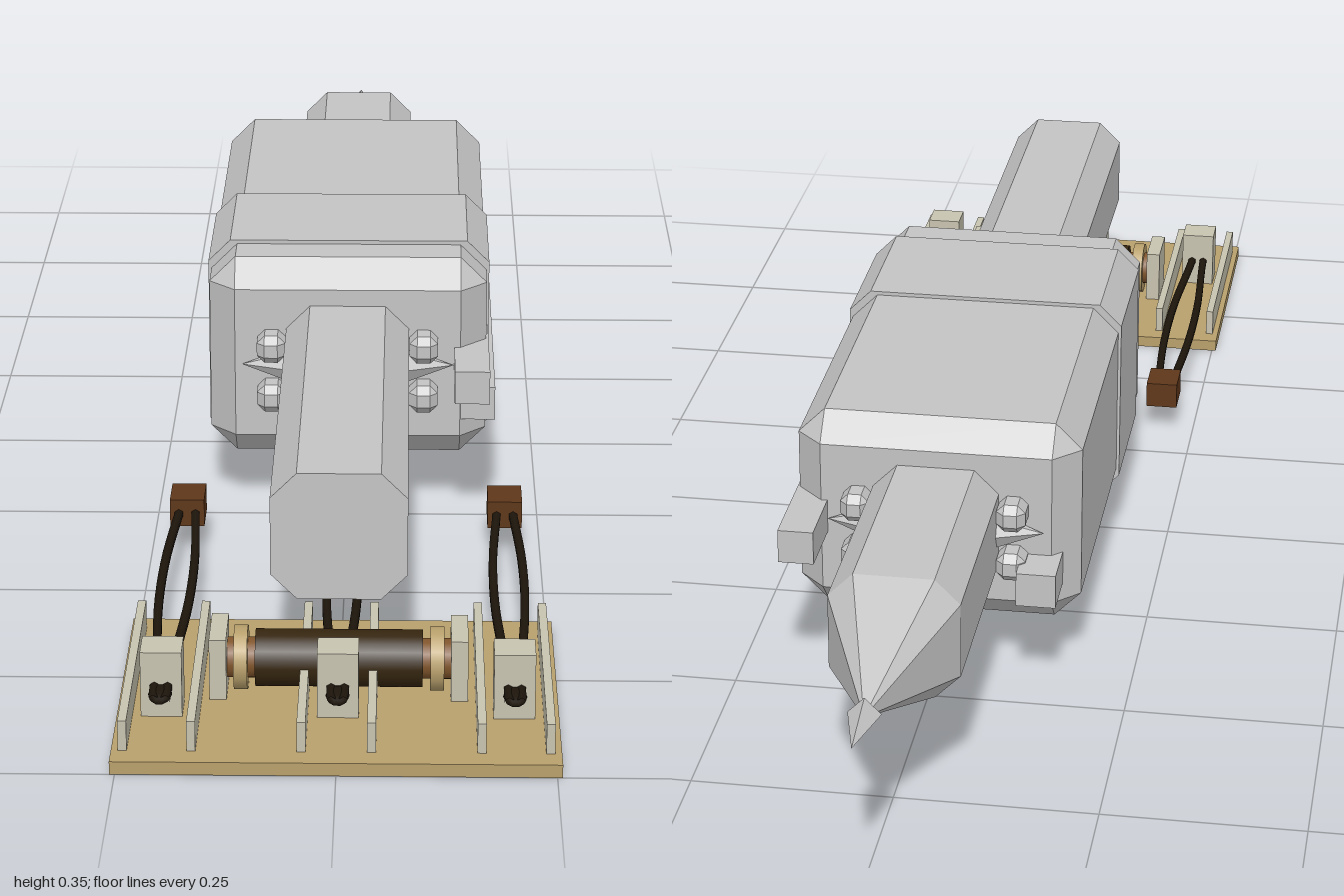
import * as THREE from 'three';
import { ConvexGeometry } from 'three/addons/geometries/ConvexGeometry.js';

export function createModel() {
  const model = new THREE.Group();
  const paint = (name, color) => {
    const m = new THREE.MeshStandardMaterial({ color });
    m.name = name;
    return m;
  };
  const grey = paint('hull grey', 0xc4c4c4);
  const cream = paint('bracket cream', 0xc8c3b0);
  const tan = paint('base tan', 0xb8a06c);
  const drumBrown = paint('drum dark brown', 0x35250f);
  const axleBrown = paint('axle brown', 0x80552c);
  const ropeBlack = paint('rope black', 0x1e160c);
  const blockBrown = paint('block brown', 0x5e3719);

  const add = (name, geo, mat, x = 0, y = 0, z = 0) => {
    const mesh = new THREE.Mesh(geo, mat);
    mesh.name = name;
    mesh.position.set(x, y, z);
    model.add(mesh);
    return mesh;
  };
  // box given by its limits on each axis
  const box = (name, mat, x0, x1, y0, y1, z0, z1) =>
    add(name, new THREE.BoxGeometry(x1 - x0, y1 - y0, z1 - z0), mat, (x0 + x1) / 2, (y0 + y1) / 2, (z0 + z1) / 2);
  // box with all edges cut at 45 degrees
  const chamferBox = (w, h, d, b) => {
    const pts = [];
    for (const x of [-1, 1]) for (const y of [-1, 1]) for (const z of [-1, 1])
      for (let a = 0; a < 3; a++)
        pts.push(new THREE.Vector3(
          x * (w / 2 - (a === 0 ? 0 : b)),
          y * (h / 2 - (a === 1 ? 0 : b)),
          z * (d / 2 - (a === 2 ? 0 : b))));
    return new ConvexGeometry(pts);
  };
  // prism along z with cut corners
  const octagon = (hw, hh, c) => [
    [hw - c, hh], [hw, hh - c], [hw, c - hh], [hw - c, -hh],
    [c - hw, -hh], [-hw, c - hh], [-hw, hh - c], [c - hw, hh]];
  const octPrism = (hw, hh, c, z0, z1) => new ConvexGeometry(
    octagon(hw, hh, c).flatMap(([x, y]) => [new THREE.Vector3(x, y, z0), new THREE.Vector3(x, y, z1)]));
  const faceted = (geo) => {
    const g = geo.toNonIndexed();
    g.computeVertexNormals();
    return g;
  };

  // long shaft and pointed tail
  const axisY = 0.211;
  add('shaft', octPrism(0.08, 0.079, 0.031, -0.73, 0.81), grey, 0, axisY);
  add('tailCone', new ConvexGeometry([
    ...octagon(0.08, 0.079, 0.031).map(([x, y]) => new THREE.Vector3(x, y, -0.73)),
    new THREE.Vector3(0, 0, -0.925)]), grey, 0, axisY);
  const tip = faceted(new THREE.ConeGeometry(0.02, 0.08, 4));
  add('tailTip', tip, grey, 0, axisY + 0.003, -0.96).rotation.x = -Math.PI / 2;

  // bevelled casing with a raised band
  add('casing', chamferBox(0.362, 0.27, 0.68, 0.034), grey, 0, axisY, -0.095);
  add('casingBand', octPrism(0.185, 0.14, 0.029, -0.037, 0.16), grey, 0, axisY);

  // side rails
  box('upperRail', grey, 0.139, 0.184, 0.19, 0.234, -0.527, 0.335);
  box('lowerRail', grey, 0.08, 0.193, 0.133, 0.178, -0.255, 0.244);
  box('rearStub', grey, -0.16, -0.11, 0.133, 0.178, -0.49, -0.4);

  // lugs and side spikes at both ends of the casing
  for (const z of [0.25, -0.44]) for (const s of [-1, 1]) {
    for (const dy of [-0.04, 0.028])
      add('lug', chamferBox(0.037, 0.037, 0.06, 0.01), grey, s * 0.099, axisY + dy, z);
    const spike = faceted(new THREE.ConeGeometry(0.022, 0.06, 6));
    add('sideSpike', spike, grey, s * 0.108, axisY, z).rotation.z = -s * Math.PI / 2;
  }

  // base plate with low fins
  box('basePlate', tan, -0.256, 0.256, 0, 0.016, 0.618, 1);
  for (const x of [-0.243, -0.165, -0.04, 0.04, 0.165, 0.243])
    box('fin', cream, x - 0.005, x + 0.005, 0.014, 0.053, 0.645, 0.972);

  // winch: drum, axle, flanges and brackets
  const roller = (name, mat, r, x, w) => {
    add(name, new THREE.CylinderGeometry(r, r, w, 20), mat, x, 0.053, 0.802).rotation.z = Math.PI / 2;
  };
  roller('drum', drumBrown, 0.034, 0, 0.196);
  roller('axle', axleBrown, 0.024, 0, 0.27);
  for (const s of [-1, 1]) {
    roller('flange', tan, 0.038, s * 0.115, 0.016);
    box('drumBracket', cream, s * 0.141 - 0.01, s * 0.141 + 0.01, 0.014, 0.092, 0.765, 0.84);
  }

  // posts, rope pairs and end blocks
  for (const x of [-0.204, 0, 0.204]) {
    box('post', cream, x - 0.024, x + 0.024, 0.014, 0.097, 0.84, 0.885);
    for (const s of [-1, 1]) {
      const path = new THREE.CatmullRomCurve3(
        [[0.007, 0.92], [0.009, 0.83], [0.018, 0.66], [0.018, 0.52], [0.01, 0.37]]
          .map(([dx, z]) => new THREE.Vector3(x + s * dx, 0.054, z)));
      add('rope', new THREE.TubeGeometry(path, 16, 0.006, 6), ropeBlack);
    }
    const knot = add('knot', new THREE.SphereGeometry(1, 10, 6), ropeBlack, x, 0.052, 0.9);
    knot.scale.set(0.014, 0.007, 0.024);
    box('endBlock', blockBrown, x - 0.022, x + 0.022, 0.037, 0.073, 0.325, 0.38);
  }

  return model;
}
